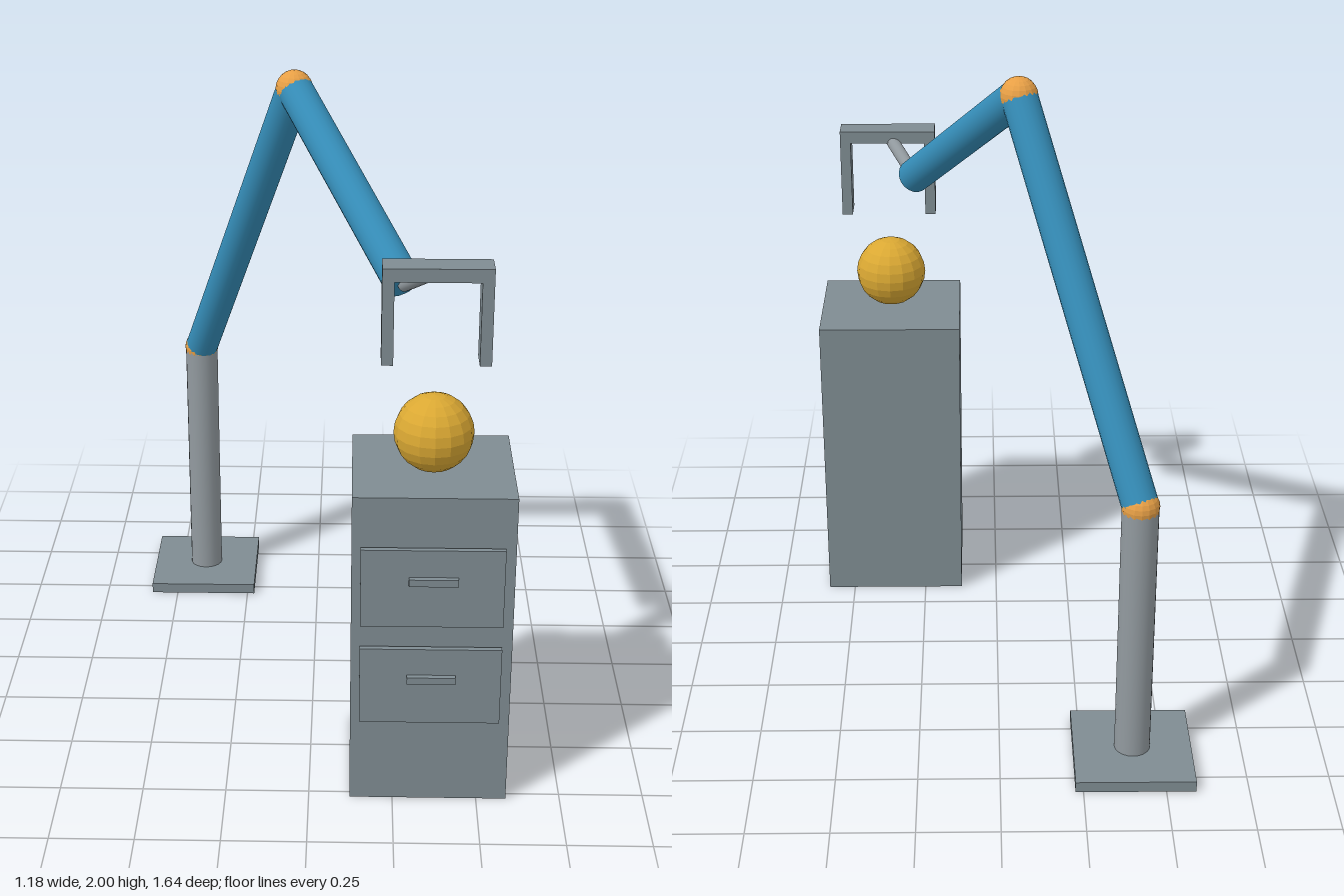
import * as THREE from 'three';

const material = (name, color, flatShading = false) => {
  const m = new THREE.MeshStandardMaterial({ color, flatShading });
  m.name = name;
  return m;
};

export function createModel() {
  const model = new THREE.Group();
  model.name = 'robotArmAndCabinet';

  const steel = material('steelGrey', 0x7f8c92);
  const pale = material('paleGrey', 0x929a9f);
  const blue = material('armBlue', 0x358db8);
  const orange = material('jointOrange', 0xe8a046, true);
  const gold = material('ballGold', 0xdaa833, true);

  const add = (name, geometry, mat, parent = model) => {
    const mesh = new THREE.Mesh(geometry, mat);
    mesh.name = name;
    parent.add(mesh);
    return mesh;
  };

  // Box given by its lower and upper corners
  const box = (name, lo, hi, mat, parent) => {
    const size = hi.map((v, i) => v - lo[i]);
    const mesh = add(name, new THREE.BoxGeometry(...size), mat, parent);
    mesh.position.set(...hi.map((v, i) => (v + lo[i]) / 2));
    return mesh;
  };

  // Round bar running between two points
  const rod = (name, a, b, radius, mat, parent) => {
    const dir = b.clone().sub(a);
    const mesh = add(name, new THREE.CylinderGeometry(radius, radius, dir.length(), 20), mat, parent);
    mesh.position.copy(a).add(b).multiplyScalar(0.5);
    mesh.quaternion.setFromUnitVectors(new THREE.Vector3(0, 1, 0), dir.normalize());
    return mesh;
  };

  const ball = (name, center, radius, mat, parent) => {
    const mesh = add(name, new THREE.SphereGeometry(radius, 16, 12), mat, parent);
    mesh.position.copy(center);
    return mesh;
  };

  // Robot arm
  const arm = new THREE.Group();
  arm.name = 'robotArm';
  model.add(arm);

  const foot = new THREE.Vector3(-0.408, 0.035, -0.635);
  const shoulder = new THREE.Vector3(-0.408, 0.88, -0.635);
  const elbow = new THREE.Vector3(-0.062, 1.943, -0.085);
  const wrist = new THREE.Vector3(0.265, 1.51, 0.437);
  const hand = new THREE.Vector3(0.355, 1.605, 0.583);

  box('basePlate', [-0.59, 0, -0.818], [-0.226, 0.035, -0.452], steel, arm);
  rod('post', foot, shoulder, 0.055, pale, arm);
  ball('shoulderJoint', shoulder, 0.057, orange, arm);
  rod('lowerArm', shoulder, elbow, 0.055, blue, arm);
  ball('elbowJoint', elbow, 0.057, orange, arm);
  rod('upperArm', elbow, wrist, 0.055, blue, arm);
  rod('wristRod', wrist, hand, 0.021, pale, arm);

  // Two-fingered gripper
  const gripper = new THREE.Group();
  gripper.name = 'gripper';
  arm.add(gripper);
  box('gripperBar', [0.2, 1.585, 0.541], [0.51, 1.625, 0.626], steel, gripper);
  for (const [name, x] of [['rightFinger', 0.2], ['leftFinger', 0.476]]) {
    box(name, [x, 1.338, 0.541], [x + 0.034, 1.585, 0.626], steel, gripper);
  }

  // Cabinet with two drawers
  const cabinet = new THREE.Group();
  cabinet.name = 'cabinet';
  model.add(cabinet);
  box('cabinetBody', [0.122, 0, 0.351], [0.589, 1, 0.775], steel, cabinet);
  for (const [name, y] of [['lower', 0.405], ['upper', 0.726]]) {
    box(name + 'Drawer', [0.148, y - 0.123, 0.785], [0.558, y + 0.123, 0.802], steel, cabinet);
    box(name + 'Handle', [0.285, y + 0.016, 0.8], [0.426, y + 0.038, 0.8185], steel, cabinet);
  }

  // Ball resting on the cabinet
  ball('ball', new THREE.Vector3(0.355, 1.117, 0.584), 0.116, gold);

  return model;
}
